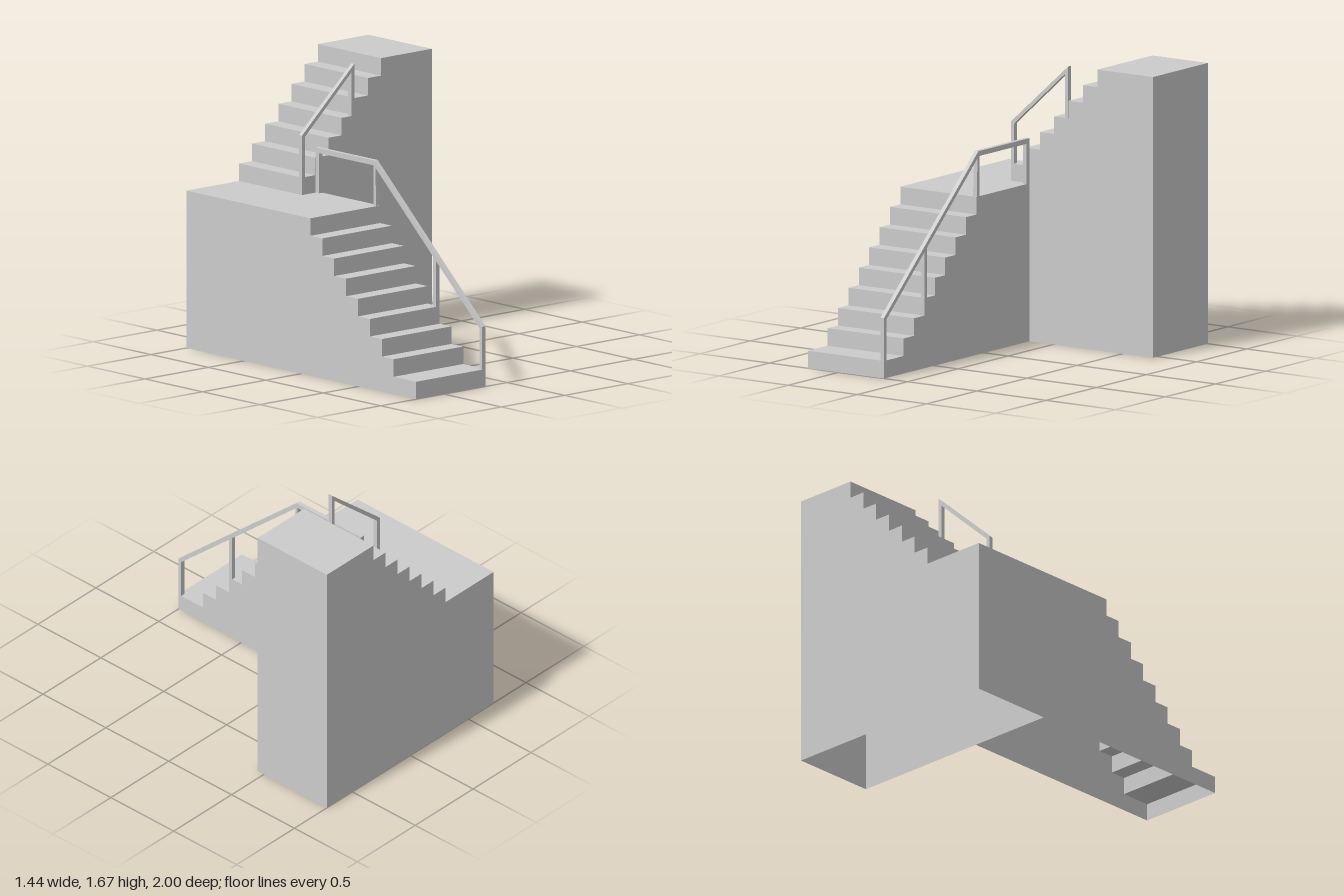
import * as THREE from 'three';

const RISE = 0.1045;      // height of one step
const RAIL = 0.027;       // thickness of the railings
const material = new THREE.MeshStandardMaterial({ color: 0xcccccc, flatShading: true, side: THREE.DoubleSide });

// Extrudes an outline; triangles whose three corners satisfy isOpen are left out
function panel(name, points, depth, isOpen = () => false) {
  const shape = new THREE.Shape(points.map(([u, v]) => new THREE.Vector2(u, v)));
  const solid = new THREE.ExtrudeGeometry(shape, { depth, bevelEnabled: false });
  const p = solid.attributes.position.array;
  const kept = [];
  for (let i = 0; i < p.length; i += 9) {
    const open = [0, 3, 6].map(k => isOpen(p[i + k], p[i + k + 1]));
    if (!open.every(Boolean)) kept.push(...p.slice(i, i + 9));
  }
  const geometry = new THREE.BufferGeometry();
  geometry.setAttribute('position', new THREE.Float32BufferAttribute(kept, 3));
  geometry.computeVertexNormals();
  const mesh = new THREE.Mesh(geometry, material);
  mesh.name = name;
  return mesh;
}

// Adds a riser and the start of its tread at each position
function addSteps(points, risers, firstLevel) {
  risers.forEach((u, i) => {
    points.push([u, (firstLevel + i) * RISE], [u, (firstLevel + i + 1) * RISE]);
  });
}

export function createModel() {
  const model = new THREE.Group();
  const landing = 9 * RISE, top = 16 * RISE;

  // Lower flight with landing, open underneath and where it meets the upper block
  const lowerRisers = [-1];
  for (let i = 0; i < 8; i++) lowerRisers.push(-0.805 + i * 0.1035);
  const lower = [];
  addSteps(lower, lowerRisers, 0);
  lower.push([0.45, landing], [0.45, 0]);
  const lowerFlight = panel('lowerFlight', lower, 0.55,
    (u, v) => v < 1e-4 || u > 0.4499);

  // Railing of the lower flight: sloping rail, level rail and four posts
  const lowerRailing = panel('lowerRailing', [
    [-1, RISE], [-1, 0.36], [-0.06, 1.21], [0.45, 1.21], [0.45, landing],
    [0.42, landing], [0.42, 1.18], [-0.052, 1.18], [-0.052, landing],
    [-0.076, landing], [-0.07, 1.168], [-0.573, 0.713], [-0.573, 4 * RISE],
    [-0.597, 4 * RISE], [-0.597, 0.691], [-0.978, 0.347], [-0.978, RISE],
  ], RAIL);
  lowerRailing.position.z = 0.55 - RAIL;

  // The lower flight climbs from the front towards the back
  const lowerPart = new THREE.Group();
  lowerPart.name = 'lowerStair';
  lowerPart.add(lowerFlight, lowerRailing);
  lowerPart.rotation.y = Math.PI / 2;
  lowerPart.position.x = -0.72;

  // Upper flight with landing and top platform, open underneath
  const upperRisers = [];
  for (let i = 0; i < 7; i++) upperRisers.push(-0.305 + i * 0.104);
  const upper = [[-0.72, 0], [-0.72, landing]];
  addSteps(upper, upperRisers, 9);
  upper.push([0.72, top], [0.72, 0]);
  const upperFlight = panel('upperFlight', upper, 0.55, (u, v) => v < 1e-4);

  // Railing of the upper flight: sloping rail and two posts
  const upperRailing = panel('upperRailing', [
    [-0.305, landing], [-0.305, 1.295], [0.108, 1.667], [0.108, 13 * RISE],
    [0.084, 13 * RISE], [0.084, 1.618], [-0.282, 1.285], [-0.282, landing],
  ], RAIL);
  upperRailing.position.z = 0.55 - RAIL;

  const upperPart = new THREE.Group();
  upperPart.name = 'upperStair';
  upperPart.add(upperFlight, upperRailing);
  upperPart.position.z = -1;

  model.add(lowerPart, upperPart);
  return model;
}
